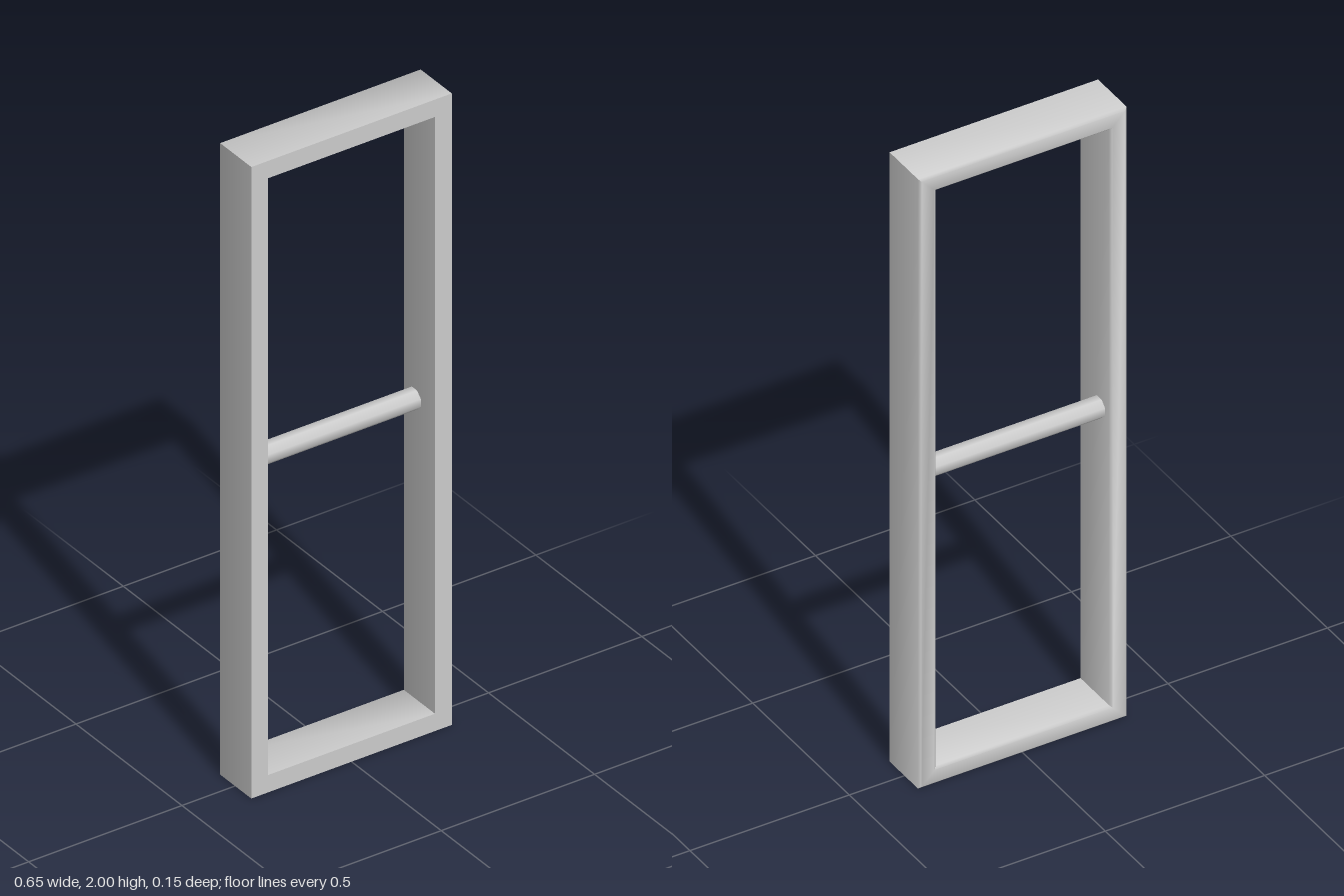
import * as THREE from 'three';
import { toCreasedNormals } from 'three/addons/utils/BufferGeometryUtils.js';

const HALF_W = 0.327, HALF_H = 1, HALF_D = 0.077, BORDER = 0.055, BEVEL = 0.007;

// Sweeps a border profile of [inset, z] points around a mitred rectangle.
function mitredFrame(profile) {
  const corners = [[-1, -1], [1, -1], [1, 1], [-1, 1]];
  const positions = [], indices = [];
  const n = profile.length;
  for (const [inset, z] of profile) {
    for (const [sx, sy] of corners) {
      positions.push(sx * (HALF_W - inset), HALF_H + sy * (HALF_H - inset), z);
    }
  }
  for (let i = 0; i < n; i++) {
    for (let j = 0; j < 4; j++) {
      const i2 = (i + 1) % n, j2 = (j + 1) % 4;
      const a = i * 4 + j, b = i2 * 4 + j, c = i * 4 + j2, d = i2 * 4 + j2;
      indices.push(a, c, b, c, d, b);
    }
  }
  const geometry = new THREE.BufferGeometry();
  geometry.setAttribute('position', new THREE.Float32BufferAttribute(positions, 3));
  geometry.setIndex(indices);
  return toCreasedNormals(geometry, THREE.MathUtils.degToRad(50));
}

export function createModel() {
  const group = new THREE.Group();
  group.name = 'windowFrame';
  const material = new THREE.MeshStandardMaterial({ color: 0xcccccc });

  // Outer frame: square front edges, softened back edges
  const frame = new THREE.Mesh(mitredFrame([
    [0, HALF_D],
    [BORDER, HALF_D],
    [BORDER, -HALF_D + BEVEL],
    [BORDER - BEVEL, -HALF_D],
    [BEVEL, -HALF_D],
    [0, -HALF_D + BEVEL],
  ]), material);
  frame.name = 'outerFrame';
  group.add(frame);

  // Crossbar: eight-sided bar lying flat side up, spanning the opening
  const radius = 0.03 / Math.cos(Math.PI / 8);
  const barGeometry = new THREE.CylinderGeometry(radius, radius, 2 * (HALF_W - BORDER), 8);
  barGeometry.rotateY(Math.PI / 8);
  barGeometry.rotateZ(Math.PI / 2);
  const bar = new THREE.Mesh(barGeometry, material);
  bar.name = 'crossbar';
  bar.position.set(0, 1.005, -0.02);
  group.add(bar);

  return group;
}
